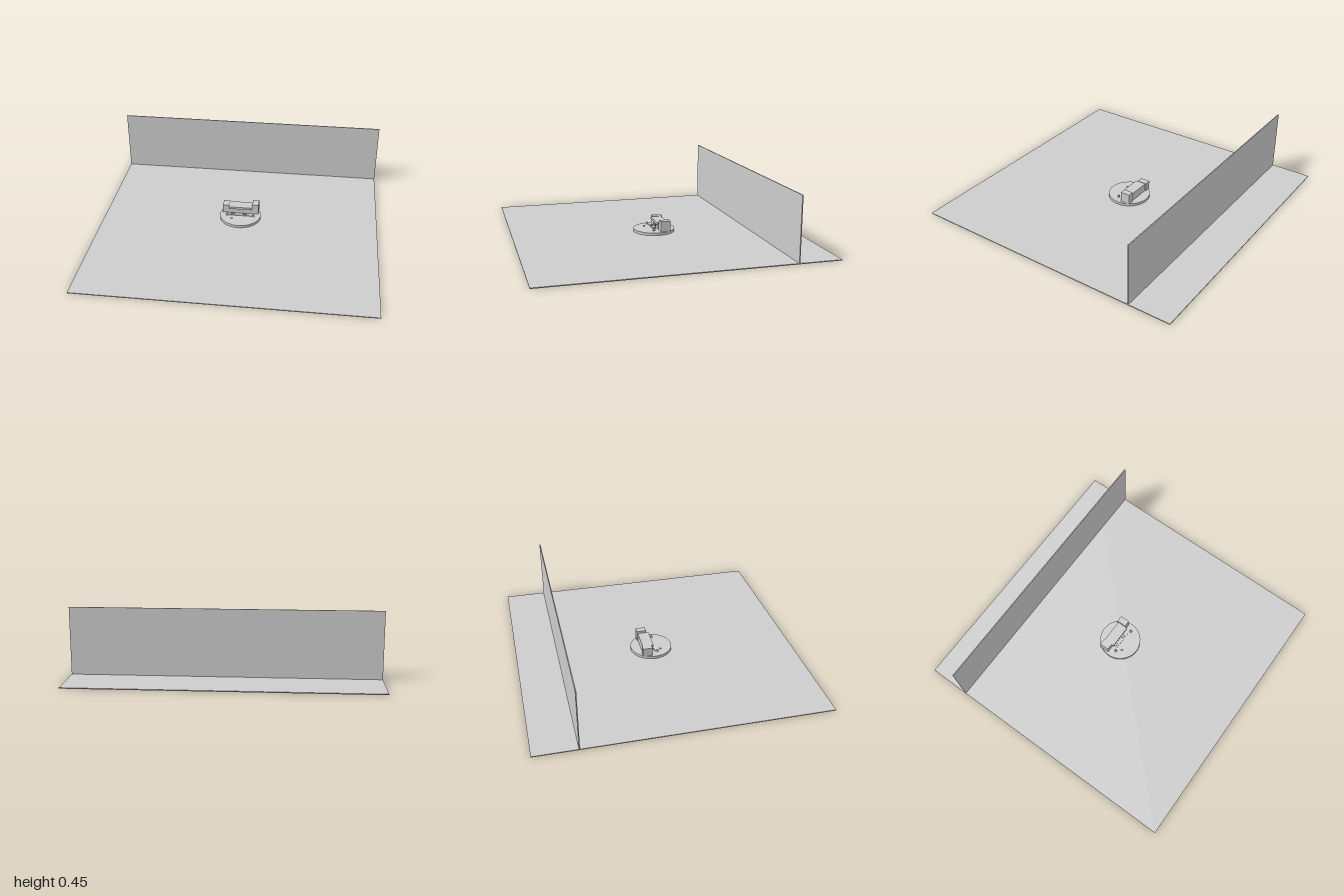
import * as THREE from 'three';

export function createModel() {
  const root = new THREE.Group();
  const grey = new THREE.MeshStandardMaterial({ color: 0xcccccc });
  grey.name = 'plain grey';

  const add = (name, geometry, x, y, z, parent = root) => {
    const mesh = new THREE.Mesh(geometry, grey);
    mesh.name = name;
    mesh.position.set(x, y, z);
    parent.add(mesh);
    return mesh;
  };
  // Box given by its extents on each axis
  const box = (name, x0, x1, y0, y1, z0, z1, parent = root) =>
    add(name, new THREE.BoxGeometry(x1 - x0, y1 - y0, z1 - z0),
      (x0 + x1) / 2, (y0 + y1) / 2, (z0 + z1) / 2, parent);

  // Wide floor and the long wall standing near its back edge
  box('floor', -1, 1, 0, 0.006, -1, 1);
  box('backWall', -1, 1, 0.006, 0.45, -0.704, -0.697);

  // Round plinth
  add('plinth', new THREE.CylinderGeometry(0.15, 0.15, 0.019, 64), 0, 0.0155, -0.02);
  const ground = 0.025;

  // Building: two wings with a lower hall between them
  const building = new THREE.Group();
  building.name = 'building';
  root.add(building);
  box('rightWing', -0.133, -0.087, ground, 0.087, -0.107, -0.037, building);
  box('leftWing', 0.085, 0.131, ground, 0.102, -0.107, -0.037, building);
  box('hall', -0.087, 0.085, ground, 0.074, -0.1, -0.037, building);
  box('hallRoof', -0.087, 0.085, 0.074, 0.084, -0.1, -0.02, building);
  box('canopyBeam', -0.087, 0.085, 0.067, 0.074, -0.028, -0.02, building);
  box('frontRail', -0.085, 0.083, ground, 0.029, -0.009, -0.002, building);

  // Door frame and window mullions on the hall front
  for (const x of [-0.06, -0.018, 0, 0.018, 0.06])
    box('mullion', x - 0.0012, x + 0.0012, ground, 0.067, -0.037, -0.034, building);

  // Small bushes with pointed tops flank the entrance
  for (const x of [-0.095, 0.097]) {
    const tree = new THREE.Group();
    tree.name = 'tree';
    tree.position.set(x, ground, 0.006);
    root.add(tree);
    add('trunk', new THREE.CylinderGeometry(0.002, 0.002, 0.012, 8), 0, 0.006, 0, tree);
    add('crown', new THREE.ConeGeometry(0.01, 0.018, 12), 0, 0.016, 0, tree);
  }

  // Low seats before the hall and a small marker on the forecourt
  for (const x of [-0.055, 0.03])
    box('bench', x - 0.014, x + 0.014, ground, 0.034, -0.022, -0.014);
  add('marker', new THREE.CylinderGeometry(0.006, 0.008, 0.006, 12), -0.058, ground + 0.003, 0.038);

  return root;
}
